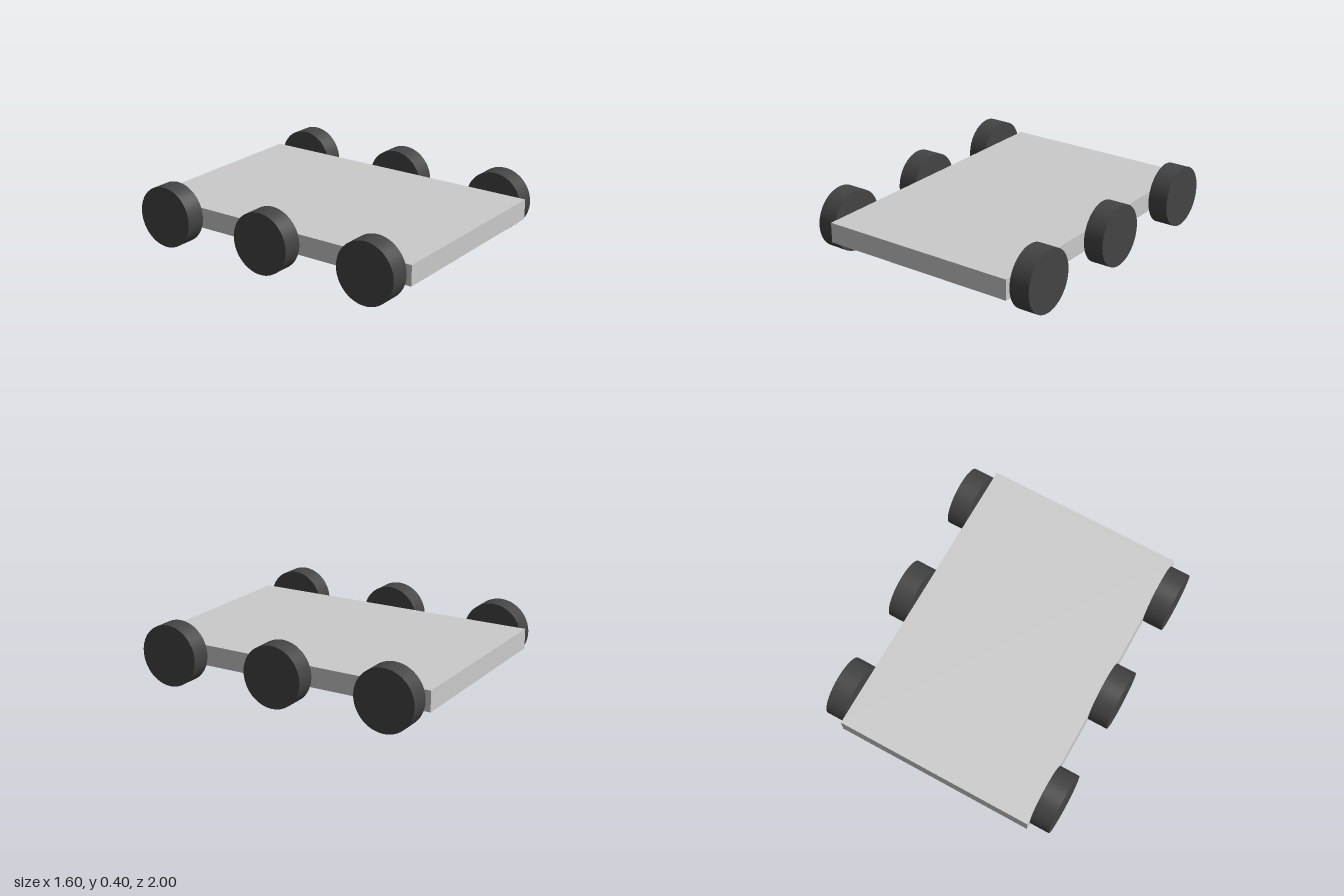
import * as THREE from 'three';

export function createModel() {
  const model = new THREE.Group();
  const grey = new THREE.MeshStandardMaterial({ color: 0xcccccc });
  const rubber = new THREE.MeshStandardMaterial({ color: 0x444444 });

  // Flat slab chassis
  const chassis = new THREE.Mesh(new THREE.BoxGeometry(1.333, 0.133, 2), grey);
  chassis.name = 'chassis';
  chassis.position.y = 0.2;
  model.add(chassis);

  // Three wheels along each side, axles along x
  const wheelGeometry = new THREE.CylinderGeometry(0.2, 0.2, 0.133, 64).rotateZ(Math.PI / 2);
  const rows = { front: 0.767, middle: 0, rear: -0.767 };
  for (const [row, z] of Object.entries(rows)) {
    for (const side of [1, -1]) {
      const wheel = new THREE.Mesh(wheelGeometry, rubber);
      wheel.name = row + (side > 0 ? 'Left' : 'Right') + 'Wheel';
      wheel.position.set(side * 0.733, 0.2, z);
      model.add(wheel);
    }
  }
  return model;
}
